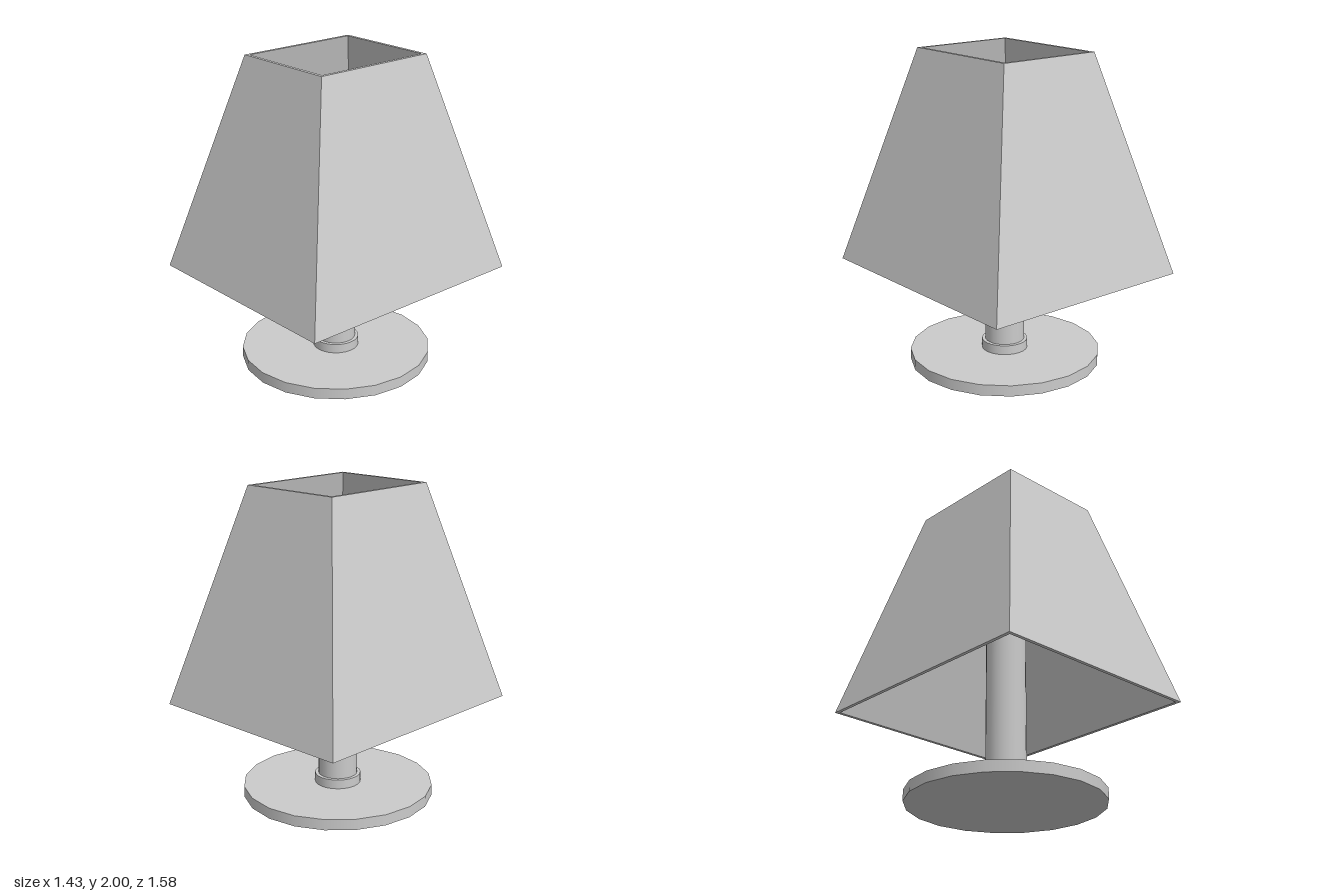
import * as THREE from 'three';

const material = new THREE.MeshStandardMaterial({ color: 0xcccccc });

function add(group, name, geometry, x = 0, y = 0, z = 0) {
  const mesh = new THREE.Mesh(geometry, material);
  mesh.name = name;
  mesh.position.set(x, y, z);
  group.add(mesh);
  return mesh;
}

// Rectangular loft through a closed profile of [halfWidth, y, halfDepth]
function rectLoft(profile) {
  const signs = [[1, 1], [1, -1], [-1, -1], [-1, 1]];
  const corner = (p, k) => [p[0] * signs[k][0], p[1], p[2] * signs[k][1]];
  const positions = [];
  for (let i = 0; i < profile.length; i++) {
    const low = profile[i], high = profile[(i + 1) % profile.length];
    for (let k = 0; k < 4; k++) {
      const n = (k + 1) % 4;
      const a = corner(low, k), b = corner(low, n), c = corner(high, n), d = corner(high, k);
      positions.push(...a, ...b, ...c, ...a, ...c, ...d);
    }
  }
  const geometry = new THREE.BufferGeometry();
  geometry.setAttribute('position', new THREE.Float32BufferAttribute(positions, 3));
  geometry.computeVertexNormals();
  return geometry;
}

export function createModel() {
  const lamp = new THREE.Group();
  lamp.name = 'tableLamp';

  // Round foot, collar and stem
  add(lamp, 'base', new THREE.CylinderGeometry(0.61, 0.61, 0.07, 20), 0, 0.035, 0);
  add(lamp, 'collar', new THREE.CylinderGeometry(0.147, 0.147, 0.06, 24), 0, 0.1, 0);
  add(lamp, 'stem', new THREE.CylinderGeometry(0.125, 0.125, 1.76, 24), 0, 0.95, 0);

  // Tapered hollow shade: outer bottom, outer top, inner top, inner bottom
  const t = 0.022;
  add(lamp, 'shade', rectLoft([
    [0.715, 0.62, 0.79],
    [0.35, 2, 0.415],
    [0.35 - t, 2, 0.415 - t],
    [0.715 - t, 0.62, 0.79 - t],
  ]));

  // Four struts from the stem to the shade, each slightly off centre
  const struts = new THREE.Group();
  struts.name = 'struts';
  const ends = [
    [[0.12, -0.015], [0.38, -0.045]],
    [[-0.12, 0.012], [-0.38, 0.035]],
    [[0.01, -0.12], [0.01, -0.45]],
    [[-0.01, 0.12], [-0.01, 0.45]],
  ];
  for (const [[x0, z0], [x1, z1]] of ends) {
    const length = Math.hypot(x1 - x0, z1 - z0);
    const strut = add(struts, 'strut', new THREE.BoxGeometry(length, 0.035, 0.042),
      (x0 + x1) / 2, 1.825, (z0 + z1) / 2);
    strut.rotation.y = -Math.atan2(z1 - z0, x1 - x0);
  }
  lamp.add(struts);

  return lamp;
}
